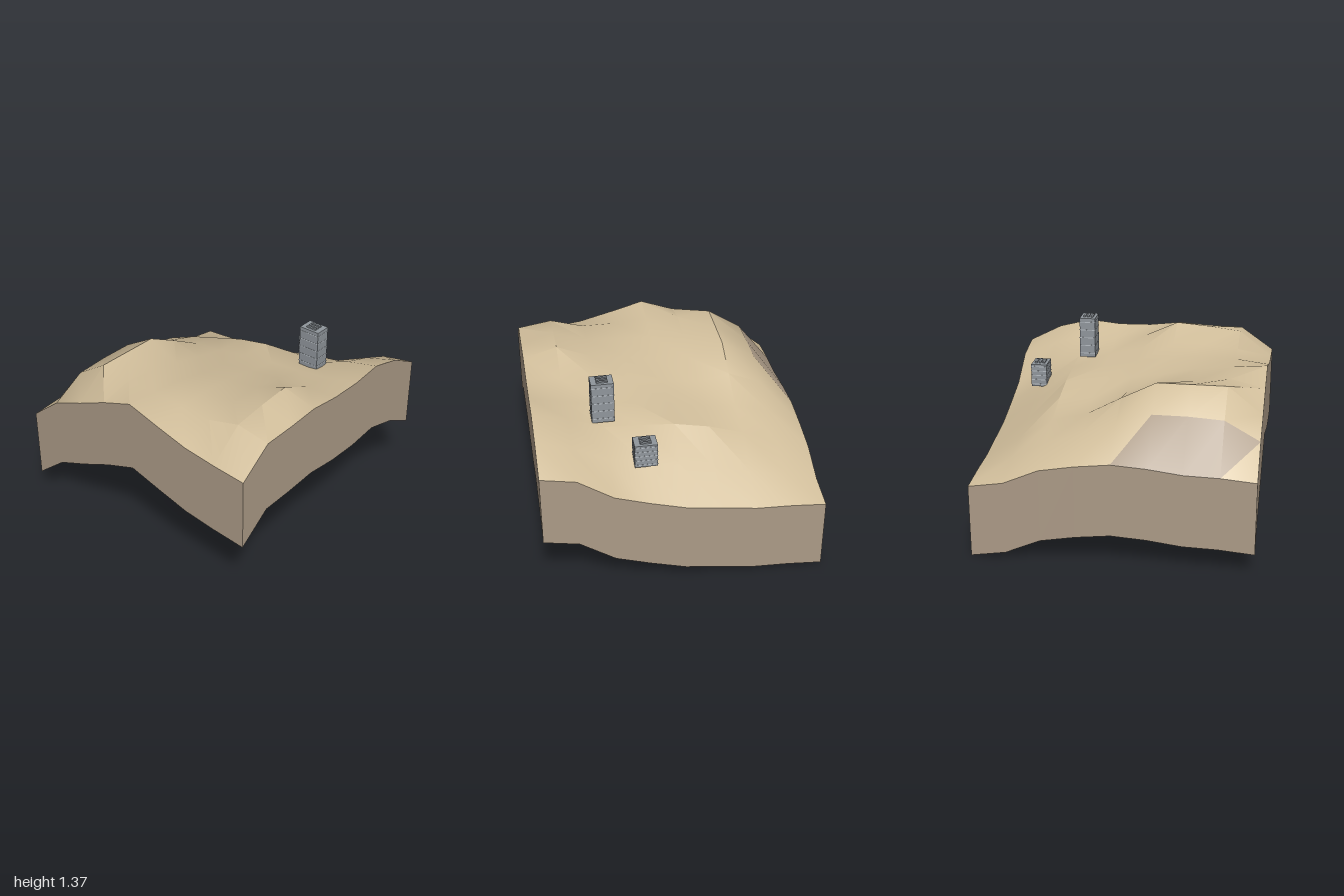
import * as THREE from 'three';
import { toCreasedNormals } from 'three/addons/utils/BufferGeometryUtils.js';

const N = 8, STEP = 0.25, THICK = 0.533;

// Ground heights: one row per z from back (-1) to front (1), x from -1 to 1
const HEIGHTS = [
  [0.69, 0.71, 0.715, 0.745, 0.76, 0.73, 0.685, 0.575, 0.535],
  [0.89, 1.03, 1.045, 1.045, 0.96, 0.87, 0.79, 0.66, 0.555],
  [0.99, 1.19, 1.19, 1.19, 1.065, 0.93, 0.87, 0.71, 0.565],
  [1.1, 1.16, 1.13, 1.08, 1.02, 0.96, 0.95, 0.76, 0.6],
  [1.19, 1.17, 1.145, 1.09, 1.05, 1.015, 1.0, 0.82, 0.635],
  [1.12, 1.15, 1.155, 1.135, 1.09, 1.045, 1.02, 0.885, 0.705],
  [1.055, 1.15, 1.17, 1.17, 1.12, 1.07, 1.03, 0.93, 0.785],
  [1.025, 1.22, 1.25, 1.27, 1.155, 1.11, 1.13, 1.05, 0.95],
  [1.005, 1.18, 1.185, 1.2, 1.17, 1.165, 1.19, 1.125, 0.997],
];

const point = (i, j) => [-1 + i * STEP, HEIGHTS[j][i], -1 + j * STEP];

function makeGeometry(positions, index) {
  const g = new THREE.BufferGeometry();
  g.setAttribute('position', new THREE.Float32BufferAttribute(positions, 3));
  g.setIndex(index);
  return g;
}

// Ground surface, with the steep back cliff as a second material group
function groundGeometry() {
  const positions = [], sand = [], rock = [];
  for (let j = 0; j <= N; j++) for (let i = 0; i <= N; i++) positions.push(...point(i, j));
  for (let j = 0; j < N; j++) {
    for (let i = 0; i < N; i++) {
      const a = j * (N + 1) + i, b = a + N + 1, c = b + 1, d = a + 1;
      const firstIsRock = j === 0 && i >= 1 && i <= 3;
      const secondIsRock = j === 0 && i <= 2;
      (firstIsRock ? rock : sand).push(a, b, d);
      (secondIsRock ? rock : sand).push(b, c, d);
    }
  }
  const g = toCreasedNormals(makeGeometry(positions, [...sand, ...rock]).toNonIndexed(), 0.55);
  g.addGroup(0, sand.length, 0);
  g.addGroup(sand.length, rock.length, 1);
  return g;
}

// One outer wall that follows the ground edge above and below
function wallGeometry(edge) {
  const positions = [], index = [];
  edge.forEach(([x, y, z], k) => {
    positions.push(x, y, z, x, y - THICK, z);
    if (k < N) {
      const a = k * 2;
      index.push(a, a + 1, a + 2, a + 1, a + 3, a + 2);
    }
  });
  const g = makeGeometry(positions, index);
  g.computeVertexNormals();
  return g;
}

export function createModel() {
  const model = new THREE.Group();
  const mat = (name, color, side = THREE.FrontSide) => {
    const m = new THREE.MeshStandardMaterial({ color, side });
    m.name = name;
    return m;
  };
  const sand = mat('sand', 0xd2bf9c, THREE.DoubleSide);
  const rock = mat('rock', 0xac9b87, THREE.DoubleSide);
  const concrete = mat('concrete', 0x90969c);
  const trim = mat('pale trim', 0xb8bec4);

  const add = (parent, name, geometry, material, x = 0, y = 0, z = 0) => {
    const mesh = new THREE.Mesh(geometry, material);
    mesh.name = name;
    mesh.position.set(x, y, z);
    parent.add(mesh);
    return mesh;
  };

  add(model, 'ground', groundGeometry(), [sand, rock]);

  // Four walls, open underneath
  const walls = {
    frontWall: k => point(k, N),
    rightWall: k => point(N, N - k),
    backWall: k => point(N - k, 0),
    leftWall: k => point(0, k),
  };
  for (const [name, edgePoint] of Object.entries(walls)) {
    const edge = Array.from({ length: N + 1 }, (_, k) => edgePoint(k));
    add(model, name, wallGeometry(edge), rock);
  }

  // Tower block: body, floor bands and three roof units
  function tower(name, x, base, z, height) {
    const group = new THREE.Group();
    group.name = name;
    group.position.set(x, base, z);
    const w = 0.12, d = 0.16, floors = 5;
    add(group, 'body', new THREE.BoxGeometry(w, height, d), concrete, 0, height / 2, 0);
    for (let i = 0; i < floors; i++) {
      const y = (i + 0.5) * height / floors;
      add(group, 'floorBand', new THREE.BoxGeometry(w + 0.003, 0.006, d + 0.003), trim, 0, y, 0);
    }
    for (const ux of [-0.03, 0, 0.03]) {
      add(group, 'roofUnit', new THREE.BoxGeometry(0.016, 0.01, 0.08), concrete, ux, height + 0.005, 0);
    }
    model.add(group);
  }
  tower('tallTower', 0.415, 1.055, 0.5, 0.31);
  tower('shortTower', 0.75, 0.88, 0.25, 0.175);

  return model;
}
